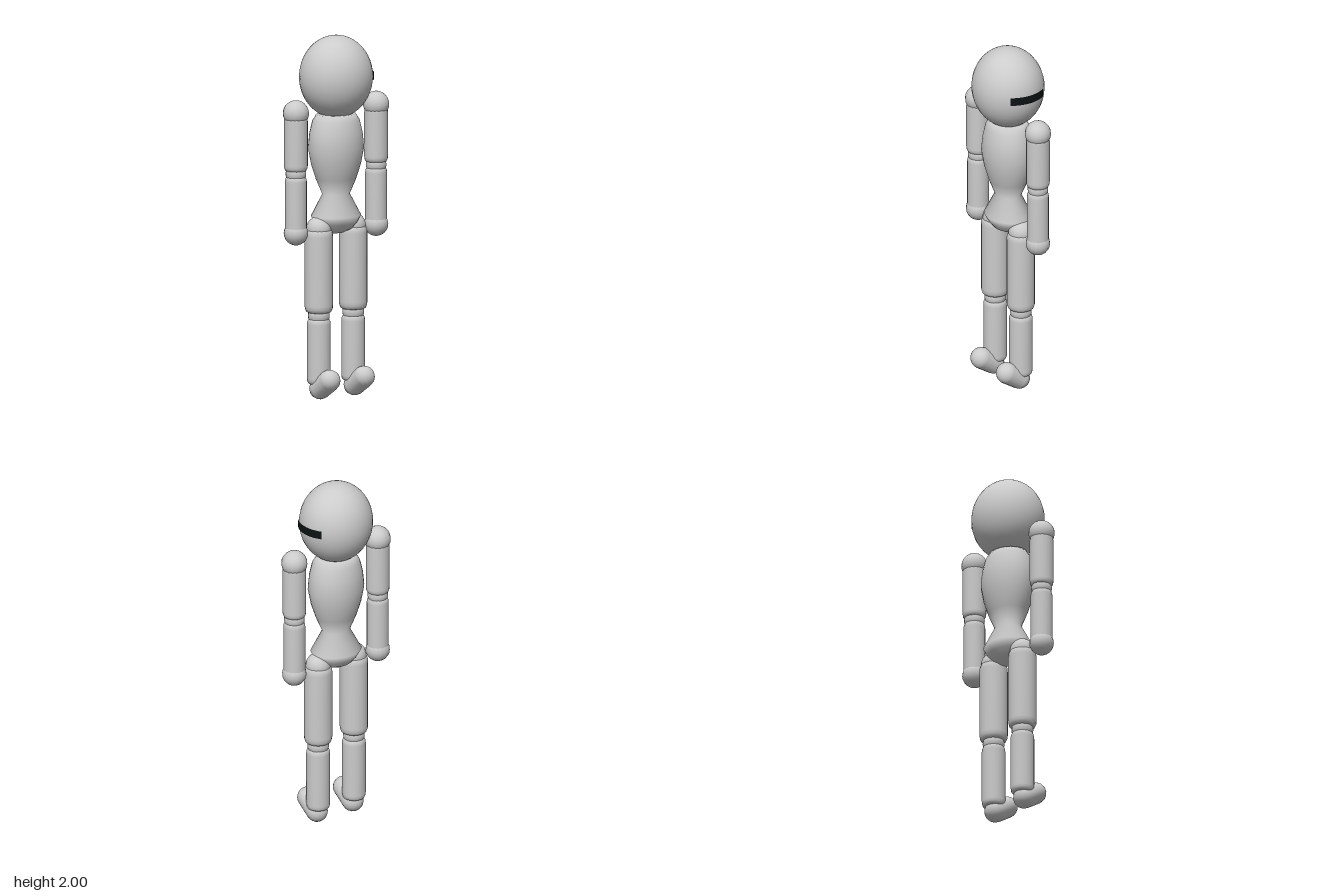
import * as THREE from 'three';

const grey = new THREE.MeshStandardMaterial({ color: 0xcccccc });
const dark = new THREE.MeshStandardMaterial({ color: 0x0c1214, side: THREE.DoubleSide });

function add(parent, name, geometry, x, y, z, material = grey) {
  const mesh = new THREE.Mesh(geometry, material);
  mesh.name = name;
  mesh.position.set(x, y, z);
  parent.add(mesh);
  return mesh;
}

const ball = (r) => new THREE.SphereGeometry(r, 16, 12);

// Solid limb section with softened ends, from y0 up to y1
function limb(r, y0, y1, soft = 0.03) {
  const inset = r * 0.22;
  const rim = r - inset;
  const points = [[0, y0], [rim, y0]];
  for (const a of [30, 60, 90]) {
    const t = THREE.MathUtils.degToRad(a);
    points.push([rim + inset * Math.sin(t), y0 + soft * (1 - Math.cos(t))]);
  }
  for (const a of [90, 60, 30]) {
    const t = THREE.MathUtils.degToRad(a);
    points.push([rim + inset * Math.sin(t), y1 - soft * (1 - Math.cos(t))]);
  }
  points.push([rim, y1], [0, y1]);
  return new THREE.LatheGeometry(points.map((p) => new THREE.Vector2(...p)), 20);
}

function createArm(side) {
  const arm = new THREE.Group();
  arm.name = side > 0 ? 'leftArm' : 'rightArm';
  arm.position.x = side * 0.28;
  add(arm, 'shoulder', ball(0.072), 0, 1.594, 0);
  add(arm, 'upperArm', limb(0.065, 1.275, 1.58), 0, 0, 0);
  add(arm, 'elbow', ball(0.057), 0, 1.26, 0);
  add(arm, 'forearm', limb(0.06, 0.92, 1.245), 0, 0, 0);
  add(arm, 'hand', ball(0.067), 0, 0.932, 0);
  return arm;
}

function createLeg(side) {
  const leg = new THREE.Group();
  leg.name = side > 0 ? 'leftLeg' : 'rightLeg';
  leg.position.x = side * 0.12;
  add(leg, 'hip', ball(0.07), 0, 0.94, 0);
  add(leg, 'thigh', limb(0.078, 0.48, 0.94, 0.04), 0, 0, 0);
  add(leg, 'knee', ball(0.06), 0, 0.463, 0);
  add(leg, 'shin', limb(0.065, 0.085, 0.445), 0, 0, 0);
  // Foot runs from the heel up to a raised toe
  const heel = new THREE.Vector3(0, 0.061, 0.012);
  const toe = new THREE.Vector3(0, 0.113, 0.094);
  const along = toe.clone().sub(heel);
  const middle = heel.clone().lerp(toe, 0.5);
  const foot = add(leg, 'foot', new THREE.CapsuleGeometry(0.06, along.length(), 6, 16),
    middle.x, middle.y, middle.z);
  foot.quaternion.setFromUnitVectors(new THREE.Vector3(0, 1, 0), along.normalize());
  return leg;
}

export function createModel() {
  const model = new THREE.Group();
  model.name = 'jointedFigure';

  // Egg-shaped head
  add(model, 'head', new THREE.SphereGeometry(1, 32, 24), 0, 1.772, 0).scale.set(0.206, 0.228, 0.197);

  // Curved dark strip on the left side of the head
  const strip = new THREE.CylinderGeometry(0.21, 0.21, 0.046, 16, 1, true, Math.PI / 2 - 0.58, 1.16);
  add(model, 'headStrip', strip, 0, 1.772, 0, dark).scale.z = 0.96;

  // Chest, waist and pelvis, flattened front to back
  const profile = [
    [0, 0.905], [0.045, 0.911], [0.09, 0.932], [0.12, 0.963], [0.146, 1.005],
    [0.08, 1.125], [0.118, 1.21], [0.145, 1.29], [0.163, 1.38],
    [0.155, 1.46], [0.138, 1.53], [0.115, 1.565], [0, 1.575],
  ].map((p) => new THREE.Vector2(...p));
  add(model, 'torso', new THREE.LatheGeometry(profile, 28), 0, 0, 0).scale.z = 0.85;

  for (const side of [1, -1]) model.add(createArm(side), createLeg(side));
  return model;
}
